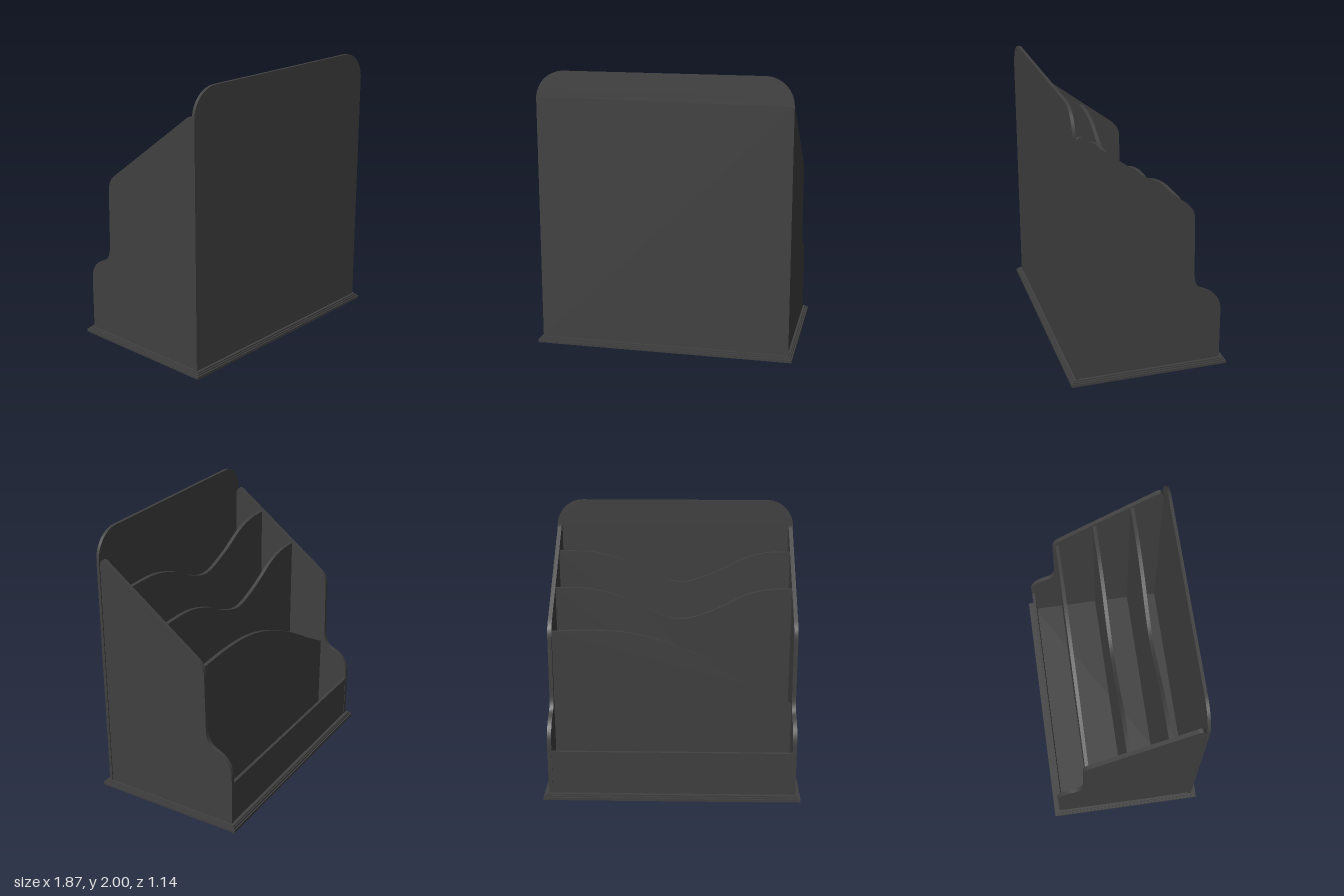
import * as THREE from 'three';
import { toCreasedNormals } from 'three/addons/utils/BufferGeometryUtils.js';

const BASE_TOP = 0.04; // panels stand on the base
const INNER = 0.868;   // half width between the side walls
const WALL = 0.03;

export function createModel() {
  const group = new THREE.Group();
  const material = new THREE.MeshStandardMaterial({ color: 0x404040 });

  const add = (name, geometry, x = 0, y = 0, z = 0) => {
    const mesh = new THREE.Mesh(geometry, material);
    mesh.name = name;
    mesh.position.set(x, y, z);
    group.add(mesh);
  };
  const panel = (shape, depth) => toCreasedNormals(
    new THREE.ExtrudeGeometry(shape, { depth, bevelEnabled: false, curveSegments: 10 }), 0.6);

  // Stepped base moulding: half width, half depth, bottom, top
  [[0.935, 0.572, 0, 0.02], [0.925, 0.562, 0.02, 0.03], [0.915, 0.552, 0.03, BASE_TOP]]
    .forEach(([w, d, y0, y1], i) =>
      add(`baseStep${i + 1}`, new THREE.BoxGeometry(w * 2, y1 - y0, d * 2), 0, (y0 + y1) / 2, 0));

  // Tall panel with rounded upper corners
  const w = 0.905, r = 0.2;
  const tall = new THREE.Shape();
  tall.moveTo(-w, BASE_TOP);
  tall.lineTo(w, BASE_TOP);
  tall.lineTo(w, 2 - r);
  tall.absarc(w - r, 2 - r, r, 0, Math.PI / 2);
  tall.lineTo(-w + r, 2);
  tall.absarc(-w + r, 2 - r, r, Math.PI / 2, Math.PI);
  add('tallPanel', panel(tall, 0.022), 0, 0, 0.511);

  // Side walls: sloping top, upright step and curved lower lip (z, y)
  const side = new THREE.Shape();
  side.moveTo(0.511, BASE_TOP);
  side.lineTo(0.511, 1.77);
  side.bezierCurveTo(0.505, 1.81, 0.485, 1.825, 0.455, 1.8);
  side.lineTo(-0.24, 1.28);
  side.bezierCurveTo(-0.285, 1.245, -0.312, 1.22, -0.314, 1.14);
  side.lineTo(-0.322, 0.74);
  side.bezierCurveTo(-0.325, 0.67, -0.345, 0.625, -0.39, 0.607);
  side.bezierCurveTo(-0.46, 0.58, -0.528, 0.53, -0.528, 0.42);
  side.lineTo(-0.53, BASE_TOP);
  const sideGeometry = panel(side, WALL).rotateY(-Math.PI / 2);
  add('leftWall', sideGeometry, INNER + WALL, 0, 0);
  add('rightWall', sideGeometry, -INNER, 0, 0);

  // Dividers: a spline top edge running from the left wall to the right wall
  const divider = (name, z, points) => {
    const shape = new THREE.Shape();
    shape.moveTo(-INNER, BASE_TOP);
    shape.lineTo(INNER, BASE_TOP);
    const curve = new THREE.SplineCurve(points.map(([x, y]) => new THREE.Vector2(x, y)));
    curve.getPoints(48).forEach((p) => shape.lineTo(p.x, p.y));
    add(name, panel(shape, 0.027), 0, 0, z);
  };
  const dip = [[INNER, 0], [0.6, -0.008], [0.36, -0.075], [0.15, -0.18], [-0.06, -0.235],
    [-0.3, -0.163], [-0.54, -0.045], [-0.7, -0.006], [-INNER, 0]];
  divider('upperDivider', 0.274, dip.map(([x, y]) => [x, 1.655 + y]));
  divider('middleDivider', -0.004, dip.map(([x, y]) => [x, 1.445 + y]));
  divider('lowerDivider', -0.292, [[INNER, 1.2], [0.58, 1.21], [0.3, 1.19], [0.02, 1.115],
    [-0.325, 0.96], [-0.67, 0.76], [-INNER, 0.65]]);

  // Low lip across the open side
  add('lowLip', new THREE.BoxGeometry(INNER * 2, 0.325, 0.022), 0, BASE_TOP + 0.1625, -0.515);

  return group;
}
